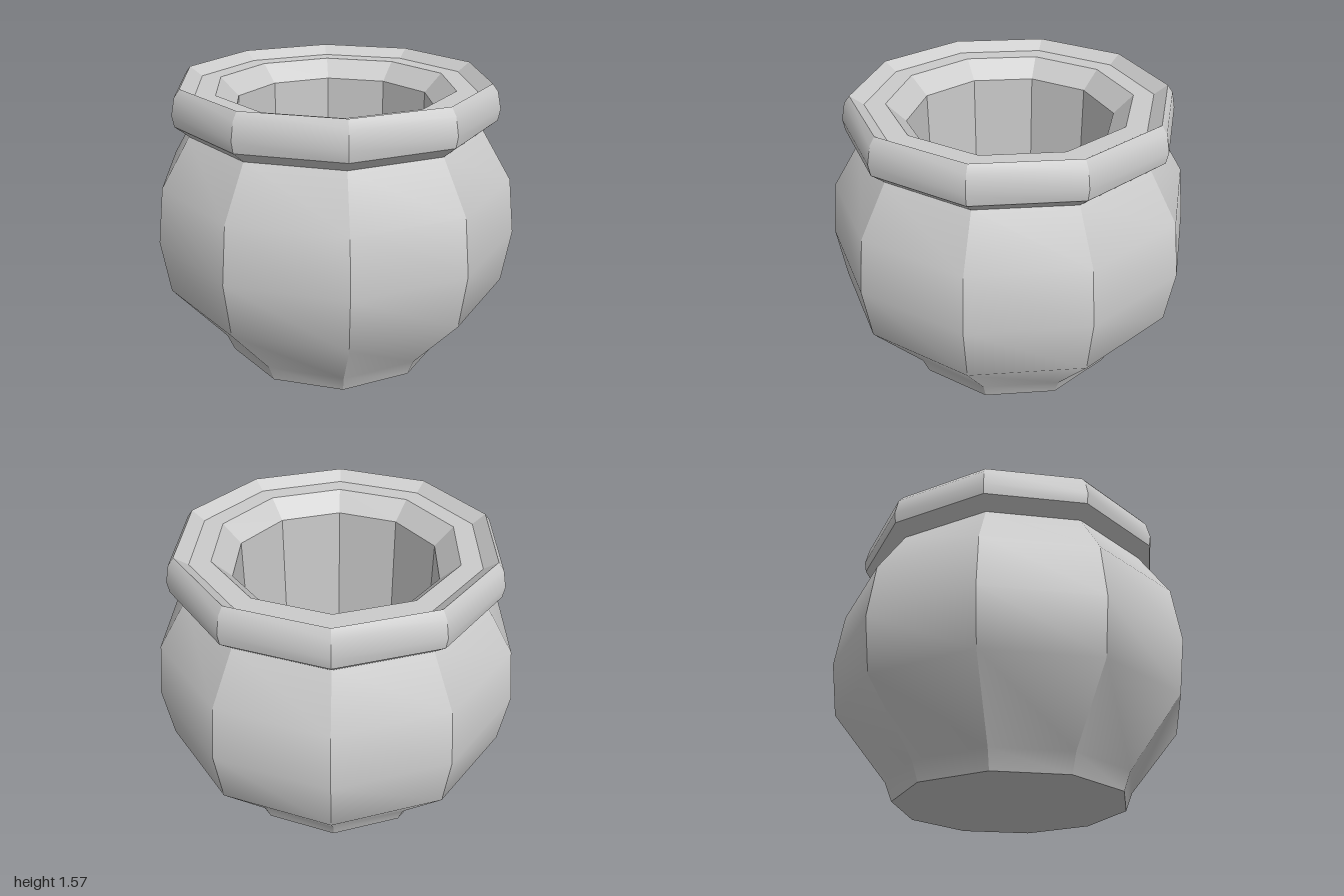
import * as THREE from 'three';
import { mergeGeometries, toCreasedNormals } from 'three/addons/utils/BufferGeometryUtils.js';

const SIDES = 10;
const STEP = (Math.PI * 2) / SIDES;
const CREASE = THREE.MathUtils.degToRad(35);
const material = new THREE.MeshStandardMaterial({ color: 0xcccccc });

// Ten-sided ring: each side is smooth along its profile, with hard edges between sides
function facetedRing(name, profile) {
  const points = profile.map(([r, y]) => new THREE.Vector2(r, y));
  const sides = [];
  for (let i = 0; i < SIDES; i++) {
    const side = new THREE.LatheGeometry(points, 1, Math.PI / 2 + i * STEP, STEP);
    sides.push(toCreasedNormals(side, CREASE));
  }
  const mesh = new THREE.Mesh(mergeGeometries(sides), material);
  mesh.name = name;
  return mesh;
}

// Flat ten-sided disc facing up or down
function disc(name, radius, y, facing) {
  const mesh = new THREE.Mesh(new THREE.CircleGeometry(radius, SIDES), material);
  mesh.rotation.x = (-facing * Math.PI) / 2;
  mesh.position.y = y;
  mesh.name = name;
  return mesh;
}

export function createModel() {
  const pot = new THREE.Group();
  pot.name = 'pot';

  pot.add(
    // Bulging outer wall
    facetedRing('body', [
      [0.63, 0], [0.67, 0.1], [0.96, 0.46], [1, 0.76], [0.96, 1.06], [0.8, 1.32],
    ]),
    // Flared collar, rolled over to a recessed ledge and a sloped mouth
    facetedRing('rim', [
      [0.8, 1.32], [0.87, 1.38], [0.88, 1.44], [0.86, 1.53], [0.83, 1.57],
      [0.76, 1.52], [0.65, 1.52], [0.55, 1.42],
    ]),
    // Straight inner wall
    facetedRing('innerWall', [[0.55, 1.42], [0.55, 0.1]]),
    disc('innerFloor', 0.55, 0.1, 1),
    disc('base', 0.63, 0, -1),
  );

  return pot;
}
